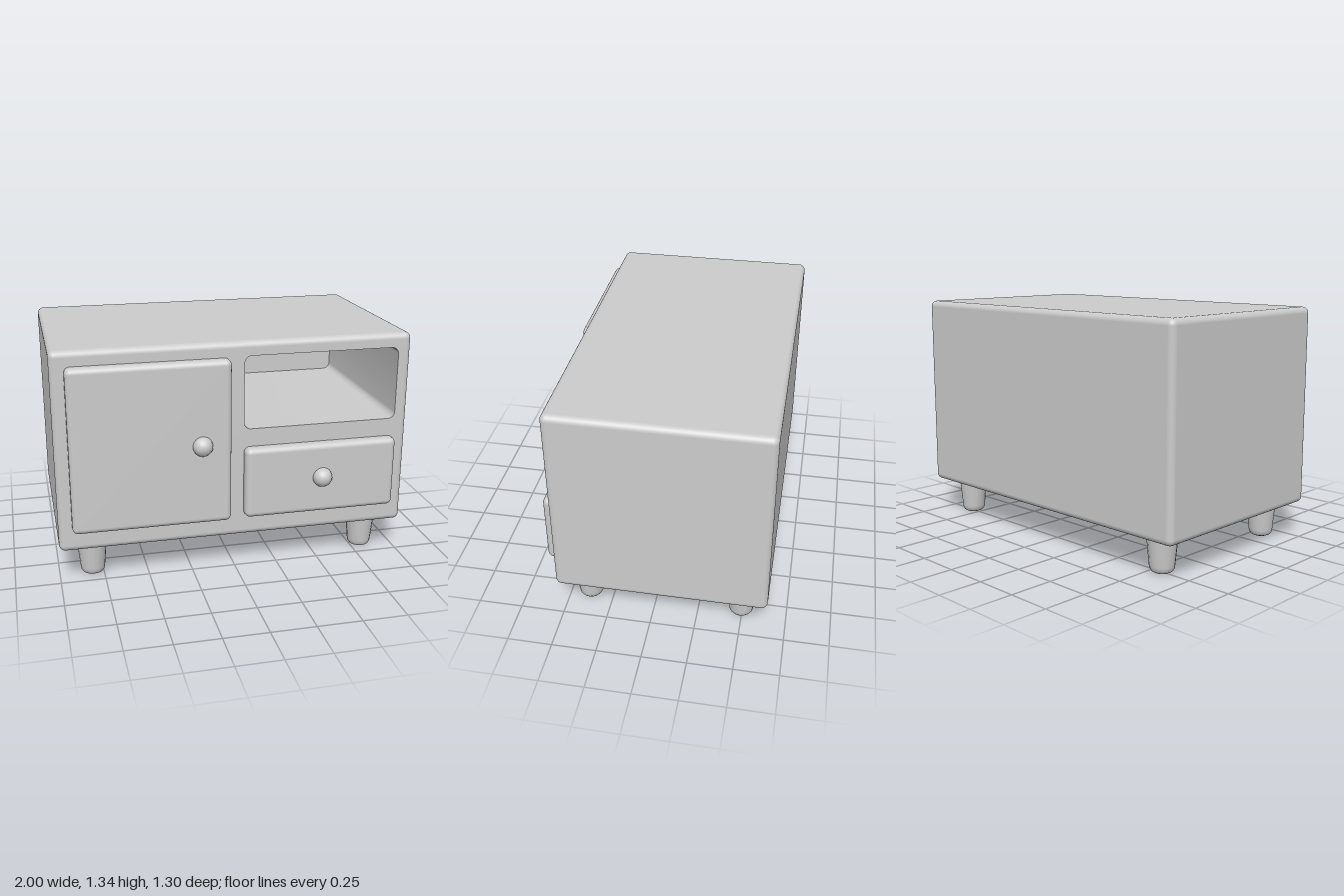
import * as THREE from 'three';
import { RoundedBoxGeometry } from 'three/addons/geometries/RoundedBoxGeometry.js';
import { toCreasedNormals } from 'three/addons/utils/BufferGeometryUtils.js';

const material = new THREE.MeshStandardMaterial({ color: 0xcccccc });

function add(parent, name, geometry, x = 0, y = 0, z = 0) {
  const mesh = new THREE.Mesh(geometry, material);
  mesh.name = name;
  mesh.position.set(x, y, z);
  parent.add(mesh);
  return mesh;
}

// Rounded box given by its limits on each axis
function boxBetween(x0, x1, y0, y1, z0, z1, radius) {
  return new RoundedBoxGeometry(x1 - x0, y1 - y0, z1 - z0, 4, radius)
    .translate((x0 + x1) / 2, (y0 + y1) / 2, (z0 + z1) / 2);
}

function roundedRect(path, x0, x1, y0, y1, r) {
  path.moveTo(x0 + r, y0);
  path.lineTo(x1 - r, y0);
  path.absarc(x1 - r, y0 + r, r, -Math.PI / 2, 0);
  path.lineTo(x1, y1 - r);
  path.absarc(x1 - r, y1 - r, r, 0, Math.PI / 2);
  path.lineTo(x0 + r, y1);
  path.absarc(x0 + r, y1 - r, r, Math.PI / 2, Math.PI);
  path.lineTo(x0, y0 + r);
  path.absarc(x0 + r, y0 + r, r, Math.PI, Math.PI * 1.5);
  return path;
}

// Drop the flat face at z = front; optionally turn the rest inside out
function openFront(geometry, front, flip = false) {
  const source = geometry.index ? geometry.toNonIndexed() : geometry;
  const p = source.attributes.position, n = source.attributes.normal;
  const points = [], normals = [];
  for (let i = 0; i < p.count; i += 3) {
    const corners = flip ? [i, i + 2, i + 1] : [i, i + 1, i + 2];
    if (corners.every((c) => Math.abs(p.getZ(c) - front) < 1e-4)) continue;
    const s = flip ? -1 : 1;
    for (const c of corners) {
      points.push(p.getX(c), p.getY(c), p.getZ(c));
      normals.push(s * n.getX(c), s * n.getY(c), s * n.getZ(c));
    }
  }
  const result = new THREE.BufferGeometry();
  result.setAttribute('position', new THREE.Float32BufferAttribute(points, 3));
  result.setAttribute('normal', new THREE.Float32BufferAttribute(normals, 3));
  return result;
}

export function createModel() {
  const model = new THREE.Group();
  model.name = 'cabinet';

  // Cabinet body, with an open shelf recessed into its front
  const front = 0.535, back = -0.648, bottom = 0.205, top = 1.34, edge = 0.035;
  const niche = [0.04, 0.925, 0.845, 1.26, 0.04], nicheBack = -0.57;
  const body = new THREE.Group();
  body.name = 'body';
  model.add(body);
  add(body, 'shell', openFront(boxBetween(-1, 1, bottom, top, back, front, edge), front));

  const face = new THREE.Shape();
  face.moveTo(-1 + edge, bottom + edge);
  face.lineTo(1 - edge, bottom + edge);
  face.lineTo(1 - edge, top - edge);
  face.lineTo(-1 + edge, top - edge);
  face.holes.push(roundedRect(new THREE.Path(), ...niche));
  add(body, 'frontFrame', new THREE.ShapeGeometry(face, 8), 0, 0, front);

  const nicheSolid = new THREE.ExtrudeGeometry(roundedRect(new THREE.Shape(), ...niche),
    { depth: front - nicheBack, bevelEnabled: false, curveSegments: 8 });
  nicheSolid.translate(0, 0, nicheBack);
  add(body, 'openShelf', toCreasedNormals(openFront(nicheSolid, front, true), 0.6));

  // Door and drawer panels standing proud of the body
  add(model, 'door', boxBetween(-0.925, -0.04, 0.325, 1.257, 0.49, 0.592, 0.032));
  add(model, 'drawerFront', boxBetween(0.04, 0.922, 0.33, 0.742, 0.49, 0.592, 0.032));

  // Ball knobs
  const knob = new THREE.SphereGeometry(0.056, 16, 12);
  add(model, 'doorKnob', knob, -0.205, 0.785, 0.592);
  add(model, 'drawerKnob', knob, 0.485, 0.545, 0.592);

  // Tapered legs with rounded feet
  const profile = [[0, 0], [0.042, 0], [0.058, 0.008], [0.067, 0.022], [0.07, 0.04], [0.087, 0.22]]
    .map(([r, y]) => new THREE.Vector2(r, y));
  const leg = new THREE.LatheGeometry(profile, 16);
  for (const [side, x] of [['left', 0.81], ['right', -0.81]]) {
    add(model, `${side}FrontLeg`, leg, x, 0, 0.383);
    add(model, `${side}BackLeg`, leg, x, 0, -0.493);
  }

  return model;
}
